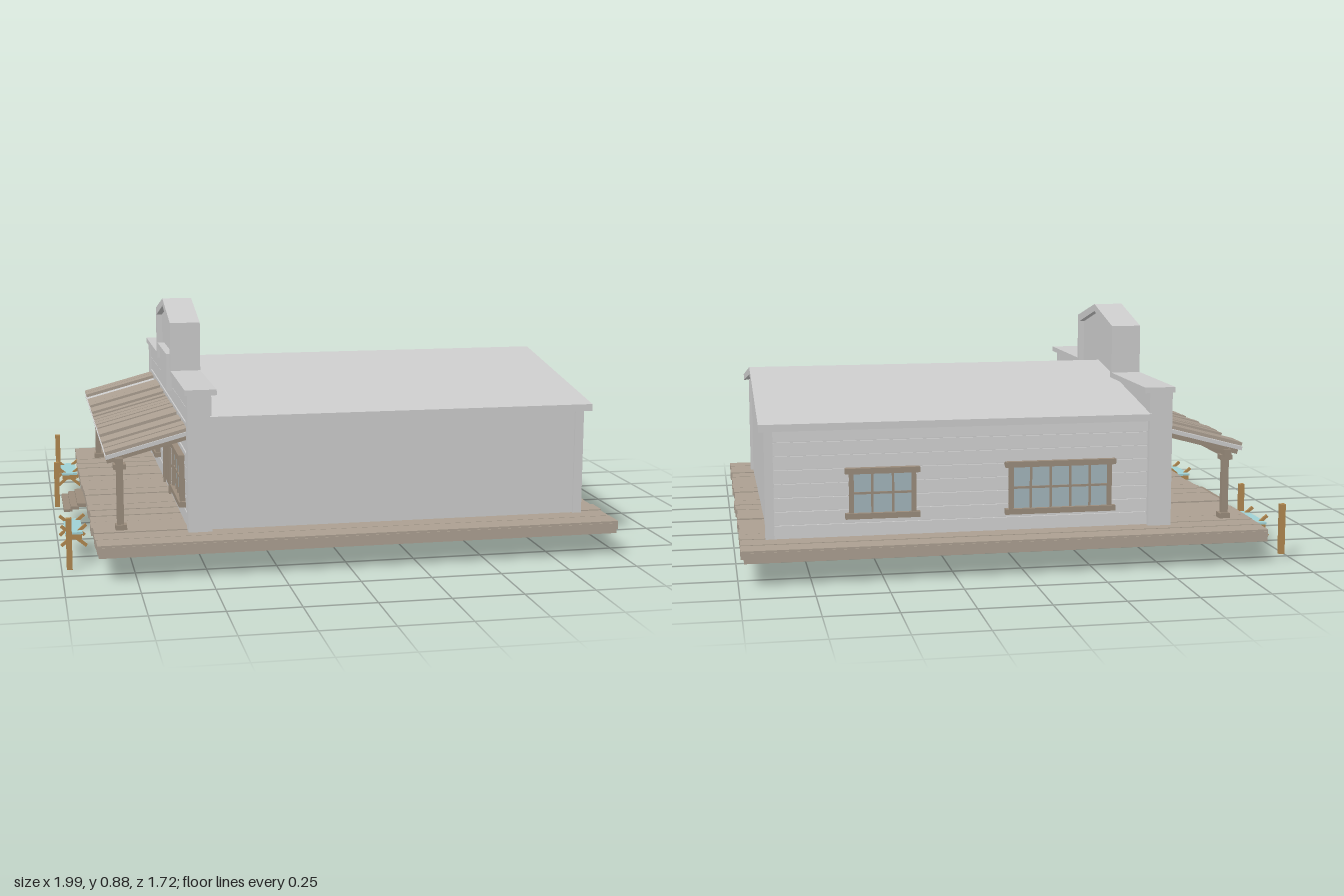
import * as THREE from 'three';

const mat = (color, extra = {}) => new THREE.MeshStandardMaterial({ color, flatShading: true, ...extra });
const GREY = mat(0xcccccc);
const DECK = mat(0xab9f91);
const TRIM = mat(0x9a8c7c);
const WOOD = mat(0xb08850);
const GLASS = mat(0xa3b5bb);
const WATER = mat(0x9fd0d4);

// Small seeded generator for uneven boards
let seed = 7;
const rnd = () => (seed = (seed * 16807) % 2147483647) / 2147483647;

function add(parent, name, geo, material) {
  const mesh = new THREE.Mesh(geo, material);
  mesh.name = name;
  parent.add(mesh);
  return mesh;
}

// Box given by its extents on each axis
function box(parent, name, [x0, x1], [y0, y1], [z0, z1], material) {
  const m = add(parent, name, new THREE.BoxGeometry(x1 - x0, y1 - y0, z1 - z0), material);
  m.position.set((x0 + x1) / 2, (y0 + y1) / 2, (z0 + z1) / 2);
  return m;
}

// Outline in (z, y), extruded along x from x0 to x1
function profileX(parent, name, pts, x0, x1, material, hole) {
  const shape = new THREE.Shape(pts.map(([z, y]) => new THREE.Vector2(-z, y)));
  if (hole) shape.holes.push(new THREE.Path(hole.map(([z, y]) => new THREE.Vector2(-z, y))));
  const geo = new THREE.ExtrudeGeometry(shape, { depth: x1 - x0, bevelEnabled: false });
  geo.rotateY(Math.PI / 2);
  geo.translate(x0, 0, 0);
  return add(parent, name, geo, material);
}

// Square bar between two points in the (x, y) plane at depth z
function barXY(parent, name, [ax, ay], [bx, by], z, t, w, material) {
  const m = add(parent, name, new THREE.BoxGeometry(Math.hypot(bx - ax, by - ay), t, w), material);
  m.position.set((ax + bx) / 2, (ay + by) / 2, z);
  m.rotation.z = Math.atan2(by - ay, bx - ax);
  return m;
}

// Window facing +z, centred on its own origin
function makeWindow(w, h, cols, rows) {
  const g = new THREE.Group();
  g.name = 'window';
  const a = w / 2, b = h / 2, f = 0.016;
  box(g, 'pane', [-a, a], [-b, b], [-0.01, 0.006], GLASS);
  for (const s of [-1, 1]) {
    box(g, 'jamb', [s * a - f / 2, s * a + f / 2], [-b, b], [-0.01, 0.016], TRIM);
    box(g, s < 0 ? 'sill' : 'lintel', [-a - 0.022, a + 0.022], [s * b - 0.01, s * b + 0.01], [-0.01, 0.022], TRIM);
  }
  for (let i = 1; i < cols; i++) {
    const x = -a + (w * i) / cols;
    box(g, 'mullion', [x - 0.004, x + 0.004], [-b, b], [-0.01, 0.011], TRIM);
  }
  for (let i = 1; i < rows; i++) {
    const y = -b + (h * i) / rows;
    box(g, 'glazingBar', [-a, a], [y - 0.004, y + 0.004], [-0.01, 0.011], TRIM);
  }
  return g;
}

function makeDeck() {
  const g = new THREE.Group();
  g.name = 'deck';
  box(g, 'deckBase', [-0.88, 0.98], [0.085, 0.122], [-0.86, 0.855], DECK);
  const n = 20, w = 1.715 / n;
  for (let i = 0; i < n; i++) {
    const z = -0.86 + i * w;
    box(g, 'deckPlank', [-0.882 - rnd() * 0.01, 0.982 + rnd() * 0.01],
      [0.1, 0.127 + rnd() * 0.005], [z + 0.002, z + w - 0.002], DECK);
  }
  // Shallow steps in front of the entrance
  for (let i = 0; i < 3; i++) {
    const x = -0.97 + i * 0.026;
    box(g, 'step', [x, x + 0.032], [0.08 + i * 0.007, 0.09 + i * 0.009], [-0.135, 0.135 - 0.005 * i], TRIM);
  }
  return g;
}

function makeHall() {
  const g = new THREE.Group();
  g.name = 'hall';
  // Gabled body
  profileX(g, 'walls', [[-0.685, 0.125], [0.695, 0.125], [0.695, 0.525], [0, 0.635], [-0.685, 0.525]], -0.5, 0.89, GREY);
  profileX(g, 'roof', [[-0.738, 0.515], [-0.738, 0.54], [0, 0.655], [0.735, 0.54], [0.735, 0.515], [0, 0.627]].reverse(),
    -0.48, 0.92, GREY);
  // Corner boards
  for (const [z0, z1] of [[0.66, 0.705], [-0.7, -0.655]])
    box(g, 'cornerBoard', [0.868, 0.9], [0.125, 0.525], [z0, z1], GREY);
  // Clapboards on the windowed wall
  let y = 0.13;
  for (let i = 0; i < 8; i++) {
    const h = 0.049;
    const m = box(g, 'clapboard', [-0.48, 0.87], [y, y + h - 0.004], [-0.7 - rnd() * 0.004, -0.68], GREY);
    m.rotation.x = 0.08;
    y += h;
  }
  for (const [x, w, h, cols] of [[0.49, 0.22, 0.16, 3], [-0.15, 0.36, 0.17, 5]]) {
    const win = makeWindow(w, h, cols, 2);
    win.position.set(x, 0.285, -0.702);
    win.rotation.y = Math.PI;
    g.add(win);
  }
  return g;
}

// Stepped false front with a peaked centre
function makeFacade() {
  const g = new THREE.Group();
  g.name = 'facade';
  const outline = (o) => [[-0.73 + o, 0.125], [0.73 - o, 0.125], [0.73 - o, 0.635 - o], [0.27 - o, 0.635 - o],
    [0.27 - o, 0.815 - o], [0, 0.88 - o], [-0.27 + o, 0.815 - o], [-0.27 + o, 0.635 - o], [-0.73 + o, 0.635 - o]];
  profileX(g, 'facadeWall', outline(0.006), -0.545, -0.475, GREY);
  // Coping along the stepped top
  profileX(g, 'peakCoping', [[-0.27, 0.635], [-0.245, 0.635], [-0.245, 0.79], [0, 0.852], [0.245, 0.79], [0.245, 0.635],
    [0.27, 0.635], [0.27, 0.815], [0, 0.88], [-0.27, 0.815]], -0.567, -0.455, GREY);
  for (const s of [-1, 1]) {
    const [a, b] = s > 0 ? [0.245, 0.73] : [-0.73, -0.245];
    box(g, 'sideCoping', [-0.567, -0.455], [0.615, 0.635], [a, b], GREY);
    const [c, d] = s > 0 ? [0.675, 0.727] : [-0.727, -0.675];
    box(g, 'pilaster', [-0.558, -0.474], [0.125, 0.62], [c, d], GREY);
    const win = makeWindow(0.26, 0.17, 4, 2);
    win.position.set(-0.556, 0.285, s * 0.45);
    win.rotation.y = -Math.PI / 2;
    g.add(win);
    // Double door leaf
    const [e, f] = s > 0 ? [0.004, 0.095] : [-0.095, -0.004];
    box(g, 'doorLeaf', [-0.558, -0.54], [0.15, 0.33], [e, f], TRIM);
    box(g, 'doorPost', [-0.563, -0.54], [0.125, 0.37], [s * 0.105 - 0.01, s * 0.105 + 0.01], TRIM);
  }
  box(g, 'doorLintel', [-0.565, -0.54], [0.36, 0.38], [-0.125, 0.125], TRIM);
  for (let i = 0; i < 9; i++) {
    const y = 0.13 + i * 0.054;
    box(g, 'frontBoard', [-0.551 - rnd() * 0.005, -0.54], [y, y + 0.05], [-0.675, 0.675], GREY);
  }
  // Blank framed sign
  box(g, 'signBoard', [-0.563, -0.54], [0.555, 0.675], [-0.16, 0.16], GREY);
  profileX(g, 'signFrame', [[-0.17, 0.545], [0.17, 0.545], [0.17, 0.685], [-0.17, 0.685]], -0.572, -0.54, GREY,
    [[-0.15, 0.565], [0.15, 0.565], [0.15, 0.665], [-0.15, 0.665]]);
  return g;
}

function makePorch() {
  const g = new THREE.Group();
  g.name = 'porch';
  const lo = [-0.84, 0.395], hi = [-0.55, 0.472];
  barXY(g, 'awningSheet', lo, hi, -0.0075, 0.014, 1.355, GREY);
  // Boards laid between the bare strips: [start, end] in z
  const boards = [[-0.685, -0.57], [-0.46, -0.28], [-0.25, -0.13], [-0.1, -0.055], [-0.02, 0.13],
    [0.165, 0.35], [0.39, 0.49], [0.53, 0.67]];
  for (const [a, b] of boards) {
    const n = Math.max(1, Math.round((b - a) / 0.06)), w = (b - a) / n;
    for (let i = 0; i < n; i++) {
      const d = 0.014 + rnd() * 0.005;
      barXY(g, 'awningBoard', [lo[0], lo[1] + d], [hi[0], hi[1] + d], a + (i + 0.5) * w, 0.012, w - 0.003, DECK);
    }
  }
  for (const z of [-0.64, -0.32, 0, 0.32, 0.63])
    barXY(g, 'rafter', [-0.835, 0.38], [-0.55, 0.456], z, 0.022, 0.024, TRIM);
  box(g, 'porchBeam', [-0.805, -0.778], [0.362, 0.39], [-0.67, 0.66], TRIM);
  for (const z of [-0.64, 0.64]) {
    box(g, 'porchPost', [-0.802, -0.778], [0.125, 0.38], [z - 0.012, z + 0.012], TRIM);
    box(g, 'postFoot', [-0.808, -0.768], [0.125, 0.15], [z - 0.02, z + 0.02], TRIM);
    box(g, 'postHead', [-0.812, -0.768], [0.35, 0.368], [z - 0.02, z + 0.02], TRIM);
  }
  return g;
}

// Water trough carried on crossed legs
function makeTrough(x, z) {
  const g = new THREE.Group();
  g.name = 'trough';
  g.position.set(x, 0, z);
  box(g, 'troughBody', [-0.028, 0.028], [0.08, 0.1], [-0.103, 0.103], WOOD);
  box(g, 'water', [-0.031, 0.031], [0.098, 0.106], [-0.105, 0.105], WATER);
  for (const s of [-1, 1])
    for (const e of [-1, 1])
      barXY(g, 'crossedLeg', [e * 0.045, 0.05], [-e * 0.045, 0.125], s * 0.077 + e * 0.005, 0.011, 0.01, WOOD);
  return g;
}

export function createModel() {
  seed = 7;
  const model = new THREE.Group();
  model.name = 'timberHall';
  model.add(makeDeck(), makeHall(), makeFacade(), makePorch(), makeTrough(-0.925, -0.545), makeTrough(-0.95, 0.452));
  // Hitching posts
  for (const [x, z, y] of [[-0.96, -0.79, 0.02], [-0.982, -0.3, 0], [-0.972, 0.66, 0]])
    box(model, 'hitchingPost', [x - 0.01, x + 0.01], [y, y + 0.185], [z - 0.01, z + 0.01], WOOD);
  return model;
}
